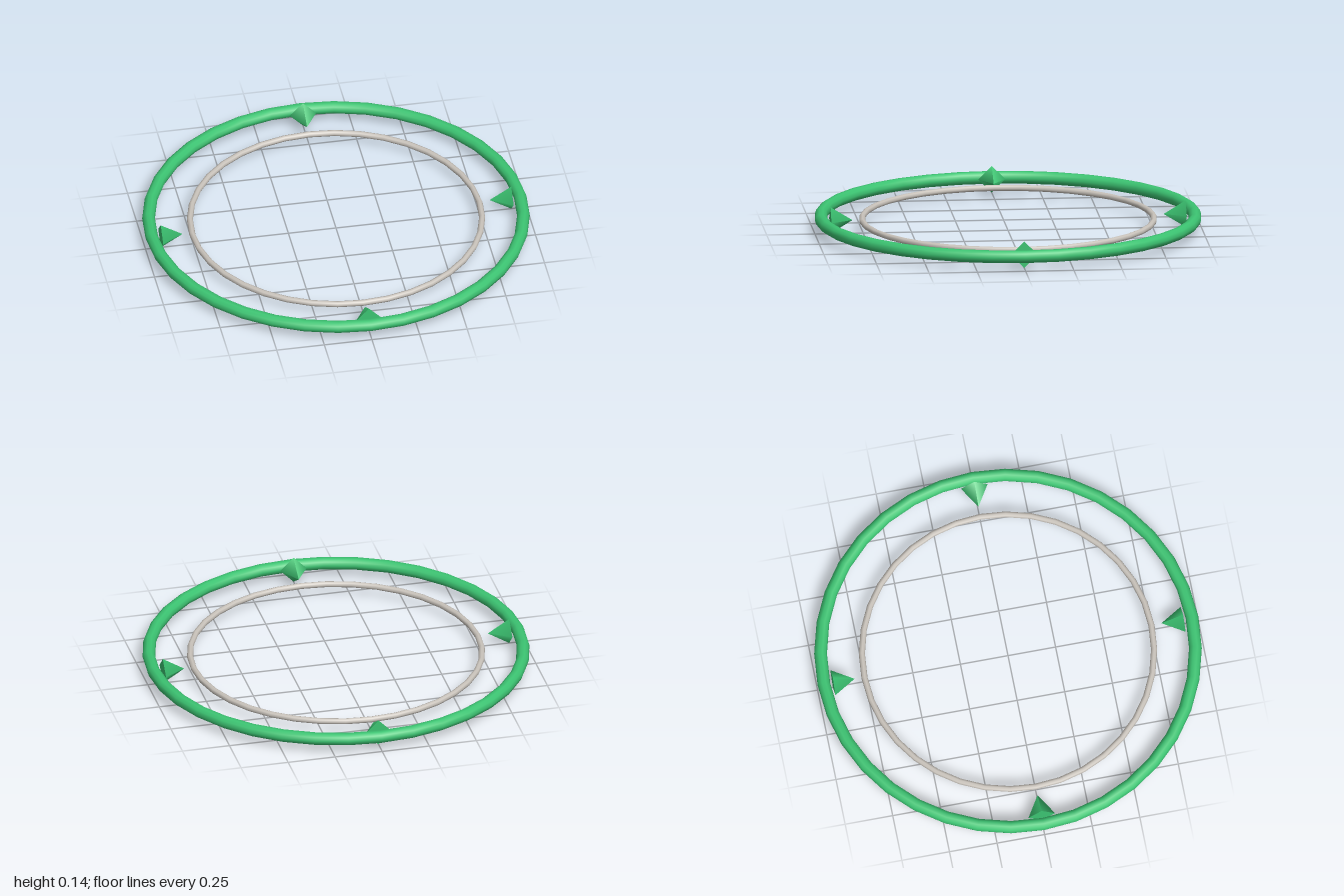
import * as THREE from 'three';

const green = new THREE.MeshStandardMaterial({ name: 'green', color: 0x3cc472 });
const paleGrey = new THREE.MeshStandardMaterial({ name: 'paleGrey', color: 0xcac4bc });

// Flat-lying ring
function ring(name, radius, tube, sides, y, material) {
  const geometry = new THREE.TorusGeometry(radius, tube, sides, 36).rotateX(-Math.PI / 2);
  const mesh = new THREE.Mesh(geometry, material);
  mesh.name = name;
  mesh.position.y = y;
  return mesh;
}

export function createModel() {
  const model = new THREE.Group();
  model.name = 'targetRing';

  model.add(ring('outerRing', 0.967, 0.033, 10, 0.07, green));
  model.add(ring('innerRing', 0.754, 0.016, 8, 0.06, paleGrey));

  // Four-sided pointers aimed at the centre
  const pointer = new THREE.ConeGeometry(0.07, 0.114, 4).rotateX(-Math.PI / 2);
  pointer.translate(0, 0, 0.863);
  ['front', 'left', 'back', 'right'].forEach((side, i) => {
    const mesh = new THREE.Mesh(pointer, green);
    mesh.name = side + 'Pointer';
    mesh.position.y = 0.07;
    mesh.rotation.y = (i * Math.PI) / 2;
    model.add(mesh);
  });

  return model;
}
